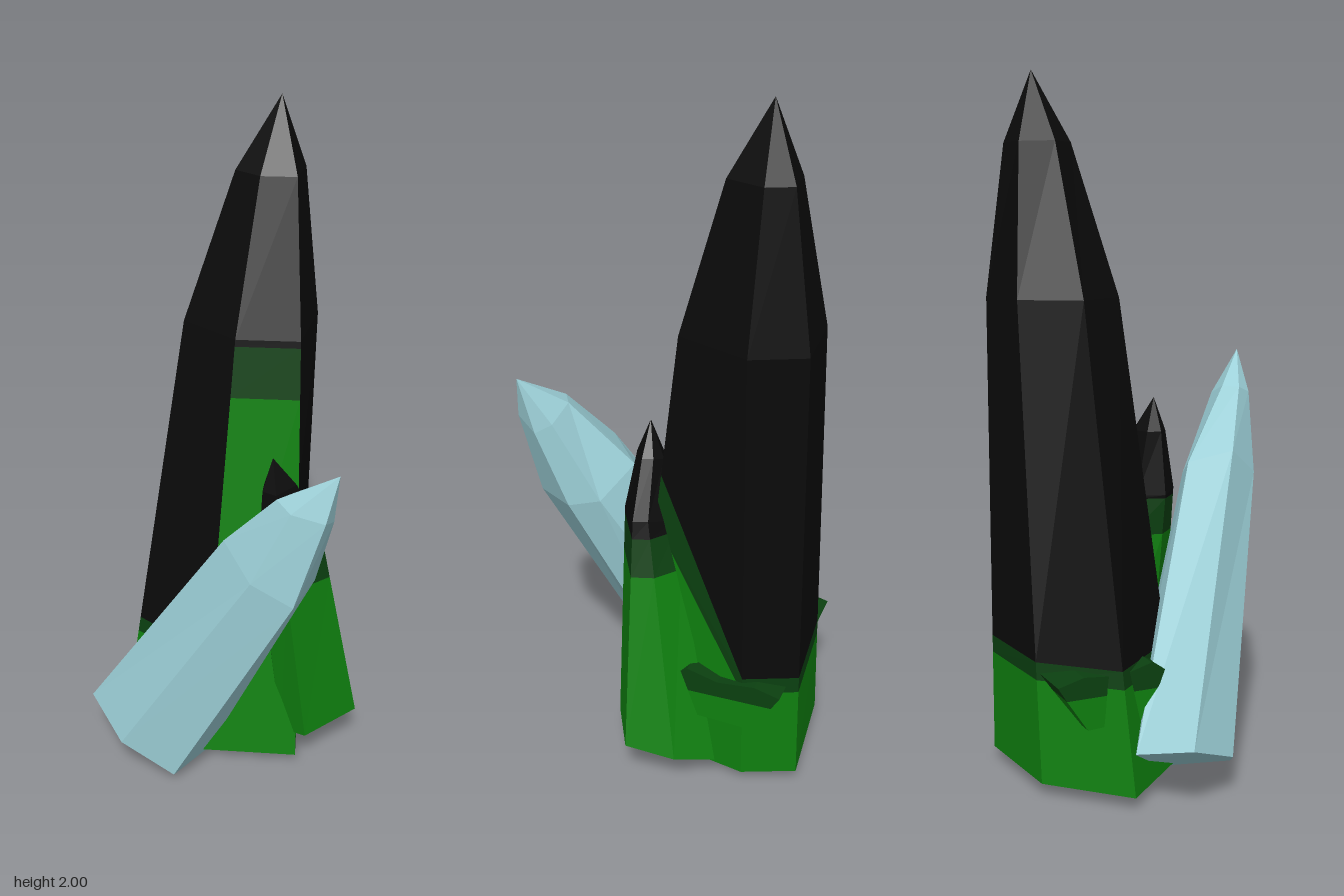
import * as THREE from 'three';

const flat = (name, color) => Object.assign(new THREE.MeshStandardMaterial({ color }), { name });

export function createModel() {
  const black = flat('black', 0x0a0a0a);
  const darkGreen = flat('darkGreen', 0x0b4010);
  const green = flat('green', 0x0f800f);
  const blue = flat('paleBlue', 0x9fd3db);
  const model = new THREE.Group();

  // Faceted crystal: rings of points from base to shoulder, closed by a tip.
  // cuts(face) gives, for both edges of a face, the heights where the colour changes.
  function crystal(name, rings, tip, mats, cuts = () => [[], []]) {
    const group = new THREE.Group();
    group.name = name;
    const n = rings[0].length;
    const V = (p) => new THREE.Vector3(...p);
    const levels = [...rings, Array(n).fill(tip)];
    const points = mats.map(() => []);
    const tri = (k, ...corners) => {
      const [a, b, c] = corners;
      const area = b.clone().sub(a).cross(c.clone().sub(a)).length();
      if (area > 1e-7) points[k].push(...corners);
    };
    for (let j = 0; j < n; j++) {
      const k = (j + 1) % n;
      const [cutA, cutB] = cuts(j);
      for (let i = 0; i + 1 < levels.length; i++) {
        const a0 = V(levels[i][j]), a1 = V(levels[i + 1][j]);
        const b0 = V(levels[i][k]), b1 = V(levels[i + 1][k]);
        const at = (lo, hi, y) => lo.clone().lerp(hi, THREE.MathUtils.clamp((y - lo.y) / (hi.y - lo.y), 0, 1));
        let a = a0, b = b0;
        mats.forEach((m, s) => {
          const ta = s < cutA.length ? at(a0, a1, cutA[s]) : a1;
          const tb = s < cutB.length ? at(b0, b1, cutB[s]) : b1;
          tri(s, a, b, tb);
          tri(s, a, tb, ta);
          a = ta;
          b = tb;
        });
      }
      // underside
      if (j > 0 && j < n - 1) tri(0, V(rings[0][0]), V(rings[0][k]), V(rings[0][j]));
    }
    points.forEach((p, s) => {
      if (!p.length) return;
      const geo = new THREE.BufferGeometry().setFromPoints(p);
      geo.computeVertexNormals();
      const mesh = new THREE.Mesh(geo, mats[s]);
      mesh.name = name + ['Base', 'Band', 'Top'][s];
      group.add(mesh);
    });
    model.add(group);
  }

  const ring = (y, pts) => pts.map(([x, z]) => [x, y, z]);

  // Tall crystal: green foot, with a green streak climbing the front face
  const low = [0.33, 0.38];
  crystal('tallCrystal', [
    ring(0.04, [[-0.3, -0.195], [-0.08, 0.05], [0.21, 0.11], [0.28, -0.27], [0.22, -0.42], [-0.1, -0.39]]),
    ring(1.37, [[-0.09, -0.25], [0.04, -0.09], [0.22, -0.055], [0.305, -0.27], [0.24, -0.415], [0.02, -0.4]]),
    ring(1.8, [[0.06, -0.27], [0.12, -0.2], [0.22, -0.18], [0.262, -0.29], [0.23, -0.36], [0.13, -0.35]]),
  ], [0.19, 2, -0.29], [green, darkGreen, black], (j) => {
    if (j === 1) return [[1.2, 1.35], [1.2, 1.35]];
    if (j === 2) return [[0.8, 0.95], low];
    return [low, low];
  });

  // Small green crystal leaning inward, with a black tip
  crystal('smallCrystal', [
    [[0.41, 0.15, 0.04], [0.385, 0.12, -0.1], [0.3, 0.08, -0.195], [0.18, 0.07, -0.1], [0.17, 0.11, 0.06], [0.235, 0.13, 0.13]],
    [[0.275, 0.82, 0.06], [0.26, 0.82, 0.02], [0.2, 0.8, -0.03], [0.12, 0.78, 0], [0.09, 0.78, 0.08], [0.15, 0.79, 0.135]],
    [[0.2, 0.98, 0.06], [0.19, 0.98, 0.03], [0.16, 0.97, 0.01], [0.11, 0.97, 0.03], [0.1, 0.97, 0.07], [0.135, 0.97, 0.1]],
  ], [0.13, 1.07, 0.06], [green, darkGreen, black], () => [[0.66, 0.77], [0.66, 0.77]]);

  // Pale crystal leaning forward across the front
  crystal('paleCrystal', [
    [[-0.41, 0.19, -0.075], [-0.33, 0.12, 0.085], [-0.175, 0.04, 0.16], [-0.05, 0.005, 0], [-0.1, 0.05, -0.15], [-0.27, 0.15, -0.18]],
    [[-0.03, 0.92, 0.24], [0.03, 0.84, 0.345], [0.14, 0.79, 0.4], [0.22, 0.8, 0.28], [0.2, 0.82, 0.19], [0.06, 0.88, 0.14]],
    [[0.1, 1.09, 0.33], [0.13, 1.07, 0.38], [0.215, 1.06, 0.425], [0.25, 1.03, 0.36], [0.24, 1.06, 0.31], [0.15, 1.09, 0.3]],
  ], [0.252, 1.19, 0.405], [blue]);

  // Stubby shard lying through the foot: green belly and dark top
  function shard(name, outline, material) {
    const shape = new THREE.Shape(outline.map(([z, y]) => new THREE.Vector2(-z, y)));
    const geo = new THREE.ExtrudeGeometry(shape, { depth: 0.52, bevelEnabled: false });
    geo.rotateY(Math.PI / 2).translate(-0.22, 0, 0);
    const mesh = new THREE.Mesh(geo, material);
    mesh.name = name;
    model.add(mesh);
  }
  shard('shardBelly', [[-0.09, 0.31], [-0.13, 0.23], [-0.3, 0.22], [-0.36, 0.31]], green);
  shard('shardTop', [[-0.07, 0.36], [-0.09, 0.31], [-0.36, 0.31], [-0.385, 0.35], [-0.31, 0.37], [-0.2, 0.36], [-0.11, 0.385]], darkGreen);

  return model;
}
